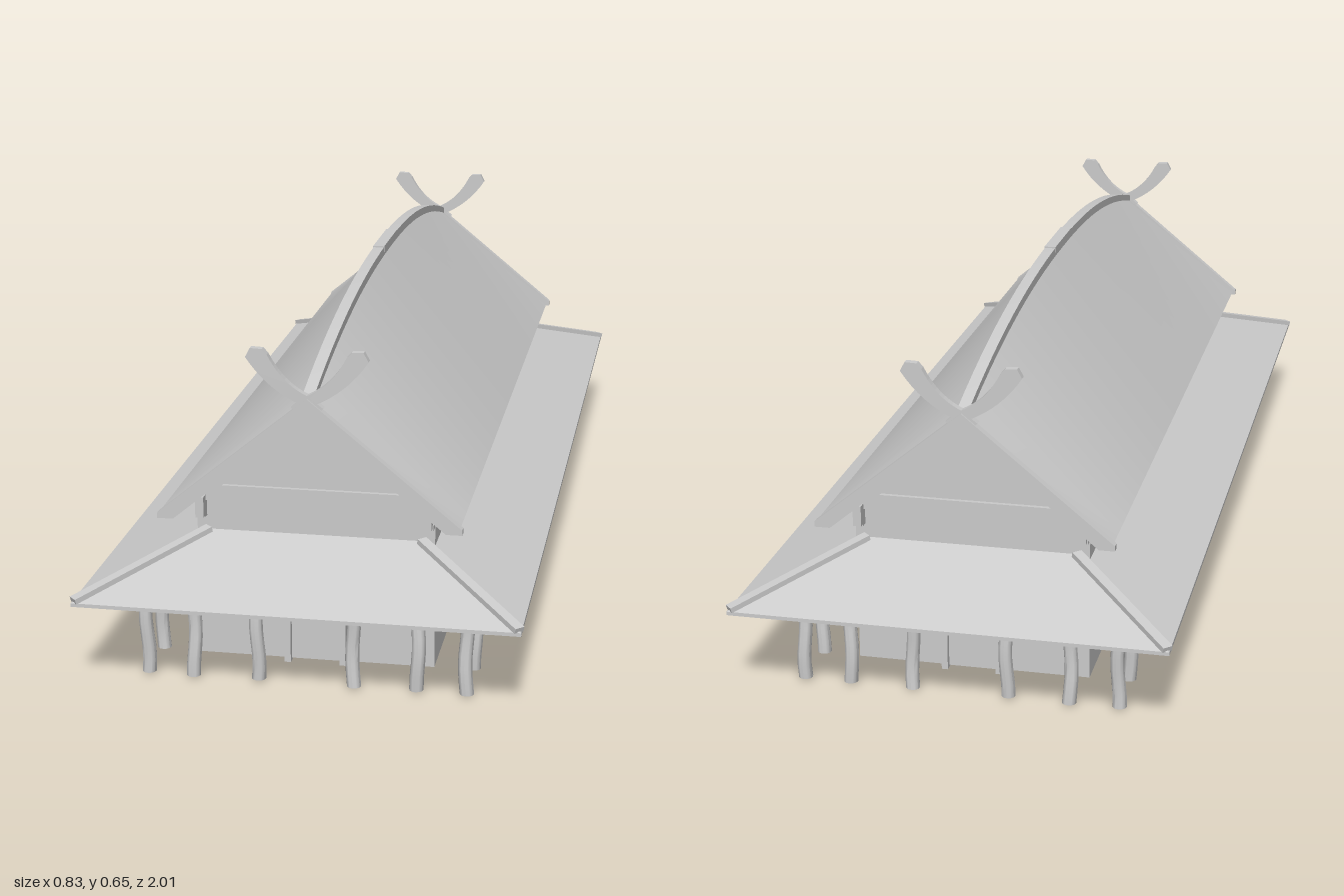
import * as THREE from 'three';
import { toCreasedNormals } from 'three/addons/utils/BufferGeometryUtils.js';

const V = (x, y, z) => new THREE.Vector3(x, y, z);
const grey = new THREE.MeshStandardMaterial({ color: 0xcccccc, side: THREE.DoubleSide });

function part(parent, name, geometry, x = 0, y = 0, z = 0) {
  const mesh = new THREE.Mesh(geometry, grey);
  mesh.name = name;
  mesh.position.set(x, y, z);
  parent.add(mesh);
  return mesh;
}

const box = (parent, name, w, h, d, x, y, z) =>
  part(parent, name, new THREE.BoxGeometry(w, h, d), x, y, z);

// Joins matching cross-sections; either closed into a ring or capped at both ends
function loft(sections, ring = false) {
  const pos = [];
  const push = (...pts) => pts.forEach(p => pos.push(p.x, p.y, p.z));
  const n = sections[0].length, count = sections.length;
  for (let i = 0; i < (ring ? count : count - 1); i++) {
    const s = sections[i], t = sections[(i + 1) % count];
    for (let j = 0; j < n; j++) {
      const k = (j + 1) % n;
      push(s[j], s[k], t[k], s[j], t[k], t[j]);
    }
  }
  if (!ring) {
    const first = sections[0], last = sections[count - 1];
    const tri = s => THREE.ShapeUtils.triangulateShape(s.map(p => new THREE.Vector2(p.x, p.y)), []);
    tri(first).forEach(([a, b, c]) => push(first[a], first[c], first[b]));
    tri(last).forEach(([a, b, c]) => push(last[a], last[b], last[c]));
  }
  const g = new THREE.BufferGeometry();
  g.setAttribute('position', new THREE.Float32BufferAttribute(pos, 3));
  g.computeVertexNormals();
  return toCreasedNormals(g, 0.5);
}

const outline = pts => new THREE.Shape(pts.map(([x, y]) => new THREE.Vector2(x, y)));
function slab(shape, depth) {
  const g = new THREE.ExtrudeGeometry(shape, { depth, bevelEnabled: false, curveSegments: 10 });
  return g.translate(0, 0, -depth / 2);
}

// Sections of the main roof, following the arched ridge line
const ridgeY = z => 0.642 - 0.107 * Math.pow(Math.abs(z) / 0.845, 2.2);
function alongRidge(profile, half) {
  const sections = [];
  for (let i = 0; i <= 28; i++) {
    const z = half * (i / 14 - 1);
    sections.push(profile(ridgeY(z)).map(([x, y]) => V(x, y, z)));
  }
  return loft(sections);
}

// Slightly crooked round post
function postGeometry(seed) {
  const g = new THREE.CylinderGeometry(0.0125, 0.0135, 0.205, 12, 8);
  const p = g.attributes.position;
  for (let i = 0; i < p.count; i++) {
    const y = p.getY(i);
    p.setX(i, p.getX(i) + 0.0025 * Math.sin(y * 38 + seed * 2.1));
    p.setZ(i, p.getZ(i) + 0.0025 * Math.cos(y * 31 + seed * 3.7));
  }
  g.computeVertexNormals();
  return toCreasedNormals(g, 0.8);
}

function door(parent, name, x, z, angle) {
  const g = new THREE.Group();
  g.name = name;
  box(g, 'doorPanel', 0.092, 0.16, 0.014, 0, 0.086, 0);
  for (const s of [-1, 1]) box(g, 'doorJamb', 0.012, 0.18, 0.03, s * 0.053, 0.09, 0);
  box(g, 'doorLintel', 0.118, 0.012, 0.026, 0, 0.173, 0);
  g.position.set(x, 0, z);
  g.rotation.y = angle;
  parent.add(g);
}

export function createModel() {
  const model = new THREE.Group();
  model.name = 'longhouse';

  // Walls: a hollow rectangle, open at the bottom
  const rect = (x, z) => [[-x, -z], [x, -z], [x, z], [-x, z]];
  const ringShape = outline(rect(0.226, 0.785));
  ringShape.holes.push(outline(rect(0.216, 0.775)));
  const walls = slab(ringShape, 0.313);
  walls.rotateX(-Math.PI / 2);
  part(model, 'walls', walls, 0, 0.16, 0);

  // Inner wall beams and projecting eave plates
  for (const s of [-1, 1]) {
    box(model, 'wallBeam', 0.025, 0.06, 1.55, s * 0.204, 0.27, 0);
    box(model, 'eavePlate', 0.016, 0.04, 1.624, s * 0.215, 0.306, 0);
    box(model, 'eavePlateFoot', 0.018, 0.01, 1.6, s * 0.216, 0.287, 0);
  }

  // Doors at both ends and on the left side
  door(model, 'frontDoor', 0, 0.785, 0);
  door(model, 'backDoor', 0, -0.785, Math.PI);
  door(model, 'sideDoor', 0.226, 0, Math.PI / 2);

  // Skirt roof around all four sides
  const skirtProfile = [[0, 0.247], [0.21, 0.17], [0.21, 0.177], [0, 0.257]];
  const corners = [[1, -1], [1, 1], [-1, 1], [-1, -1]];
  part(model, 'skirtRoof', loft(corners.map(([sx, sz]) =>
    skirtProfile.map(([d, y]) => V(sx * (0.2 + d), y, sz * (0.79 + d)))), true));
  for (const [sx, sz] of corners) {
    const cap = box(model, 'hipCap', 0.02, 0.01, 0.3, sx * 0.304, 0.22, sz * 0.894);
    cap.lookAt(sx * 0.41, 0.1796, sz);
  }

  // Posts around the building
  let seed = 0;
  const post = (x, z) => part(model, 'post', postGeometry(seed++), x, 0.1055, z);
  for (const s of [-1, 1]) {
    for (const x of [-0.21, -0.09, 0.09, 0.21]) post(x, s * 0.888);
    for (const z of [-0.888, 0.888]) post(s * 0.3, z);
    for (let i = 0; i < 10; i++) post(s * 0.302, -0.775 + i * 1.55 / 9);
  }

  // Main roof with arched ridge, and its ridge cap
  part(model, 'mainRoof', alongRidge(r => [
    [0.268, 0.3], [0.281, 0.308], [0, r], [-0.281, 0.308], [-0.268, 0.3], [0, r - 0.024],
  ], 0.845));
  part(model, 'ridgeCap', alongRidge(r => [
    [0.011, r - 0.02], [0.011, r + 0.005], [-0.011, r + 0.005], [-0.011, r - 0.02],
  ], 0.835));
  box(model, 'ridgeJoint', 0.024, 0.012, 0.17, 0, 0.643, 0);

  // Gable ends: framed triangle, barge boards and crossed horns
  const gable = outline([[-0.235, 0.315], [0.235, 0.315], [0, 0.515]]);
  gable.holes.push(outline([[-0.175, 0.346], [0.175, 0.346], [0, 0.495]]));
  const panel = outline([[-0.2, 0.33], [0.2, 0.33], [0, 0.5]]);
  const barge = outline([[0, 0.508], [0.255, 0.296], [0.285, 0.296], [0.285, 0.306], [0, 0.54]]);
  const horn = new THREE.Shape();
  horn.moveTo(-0.022, 0.515);
  horn.quadraticCurveTo(0.065, 0.54, 0.113, 0.613);
  horn.lineTo(0.104, 0.63);
  horn.lineTo(0.082, 0.629);
  horn.lineTo(0.073, 0.619);
  horn.quadraticCurveTo(0.045, 0.565, 0, 0.545);
  horn.lineTo(-0.03, 0.522);

  for (const end of [1, -1]) {
    const g = new THREE.Group();
    g.name = end > 0 ? 'frontGable' : 'backGable';
    part(g, 'gableFrame', slab(gable, 0.02), 0, 0, 0.785);
    part(g, 'gablePanel', slab(panel, 0.008), 0, 0, 0.783);
    for (const s of [0, 1]) {
      const side = new THREE.Group();
      side.name = s ? 'rightRake' : 'leftRake';
      part(side, 'bargeBoard', slab(barge, 0.016));
      part(side, 'horn', slab(horn, 0.014), 0, 0, s ? 0.003 : -0.003);
      side.rotation.y = s * Math.PI;
      side.position.z = 0.845;
      g.add(side);
    }
    g.rotation.y = end > 0 ? 0 : Math.PI;
    model.add(g);
  }

  return model;
}
